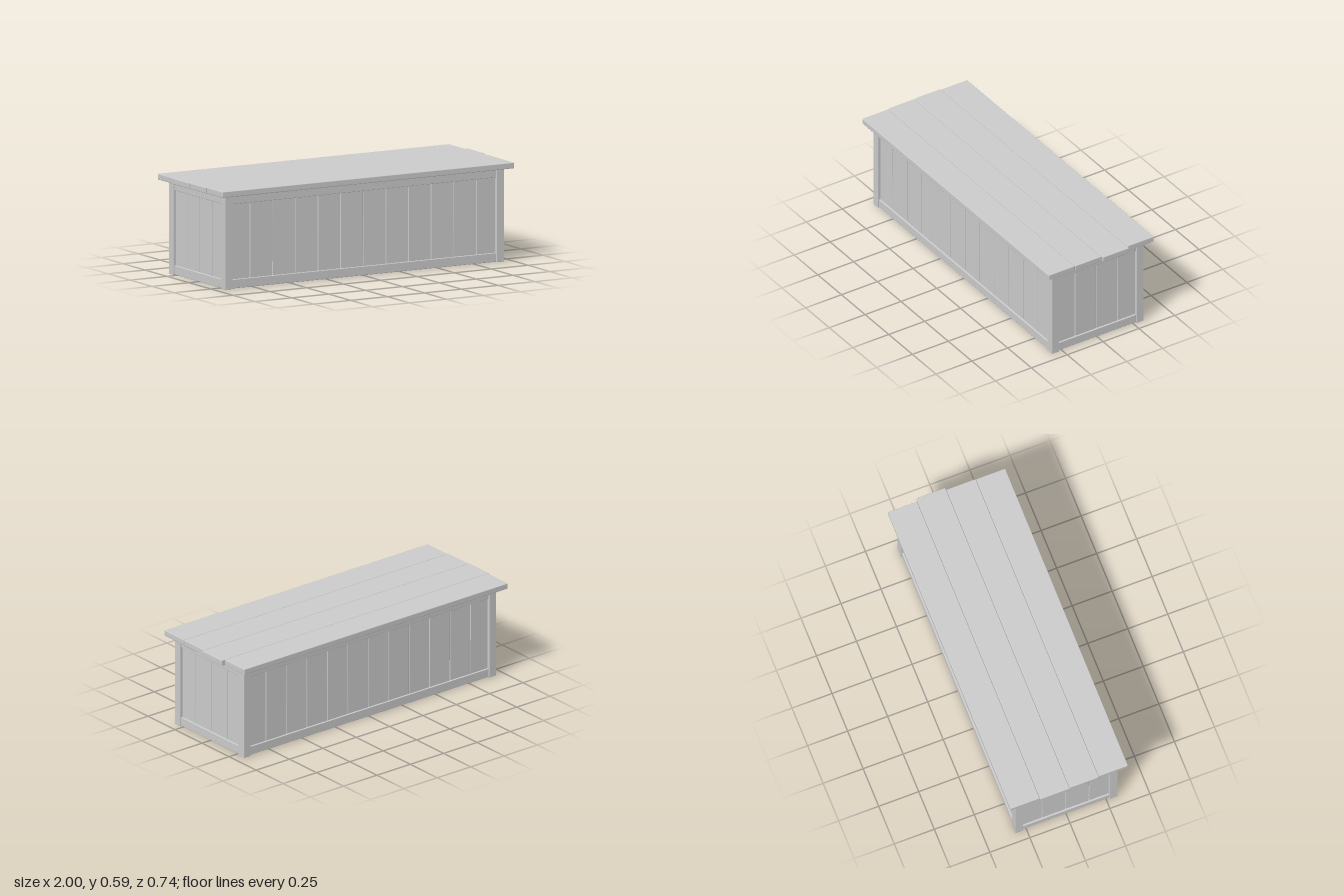
import * as THREE from 'three';
import { RoundedBoxGeometry } from 'three/addons/geometries/RoundedBoxGeometry.js';

const material = new THREE.MeshStandardMaterial({ color: 0xcccccc });

// Timber piece with softened edges, centred at (x, y, z)
function timber(parent, name, [w, h, d], [x, y, z], radius = 0.003) {
  const mesh = new THREE.Mesh(new RoundedBoxGeometry(w, h, d, 2, radius), material);
  mesh.name = name;
  mesh.position.set(x, y, z);
  parent.add(mesh);
  return mesh;
}

export function createModel() {
  const model = new THREE.Group();
  model.name = 'storageBench';

  const postX = 0.92, postZ = 0.295, post = 0.051;
  const postH = 0.553, railH = 0.053, railT = 0.036;
  const boardT = 0.016, boardH = 0.47, boardY = 0.278;
  const gap = 0.003;

  // Corner posts
  for (const sx of [-1, 1]) for (const sz of [-1, 1]) {
    timber(model, 'cornerPost', [post, postH, post], [sx * postX, postH / 2, sz * postZ]);
  }

  // Framed walls: top and bottom rails with vertical boards between them
  function wall(name, length, count) {
    const group = new THREE.Group();
    group.name = name;
    const railL = length - post + 0.004;
    timber(group, 'bottomRail', [railL, railH, railT], [0, 0.002 + railH / 2, 0]);
    timber(group, 'topRail', [railL, railH, railT], [0, postH - railH / 2, 0]);
    const pitch = length / count;
    for (let i = 0; i < count; i++) {
      const board = timber(group, 'wallBoard', [pitch - gap, boardH, boardT],
        [-length / 2 + (i + 0.5) * pitch, boardY, 0], 0.002);
      // Slight hand-built irregularity
      board.rotation.z = 0.002 * Math.sin(i * 2.4 + length);
      board.rotation.y = 0.012 * Math.sin(i * 1.7 + 1);
    }
    model.add(group);
    return group;
  }
  for (const s of [-1, 1]) {
    const long = wall(s > 0 ? 'frontWall' : 'backWall', postX * 2, 12);
    long.position.z = s * postZ;
    if (s < 0) long.rotation.y = Math.PI;
    const end = wall(s > 0 ? 'leftWall' : 'rightWall', postZ * 2, 4);
    end.position.x = s * postX;
    end.rotation.y = s * Math.PI / 2;
  }

  // Lid planks with uneven ends, listed from back to front
  const lid = new THREE.Group();
  lid.name = 'lid';
  const plankEnds = [[-0.993, 0.98], [-1, 1], [-0.996, 0.987], [-0.99, 0.985]];
  const plankPitch = 0.1843;
  plankEnds.forEach(([x0, x1], i) => {
    timber(lid, 'lidPlank', [x1 - x0, 0.035, plankPitch - 0.002],
      [(x0 + x1) / 2, 0.5715, (i - 1.5) * plankPitch], 0.004);
  });
  model.add(lid);

  return model;
}
